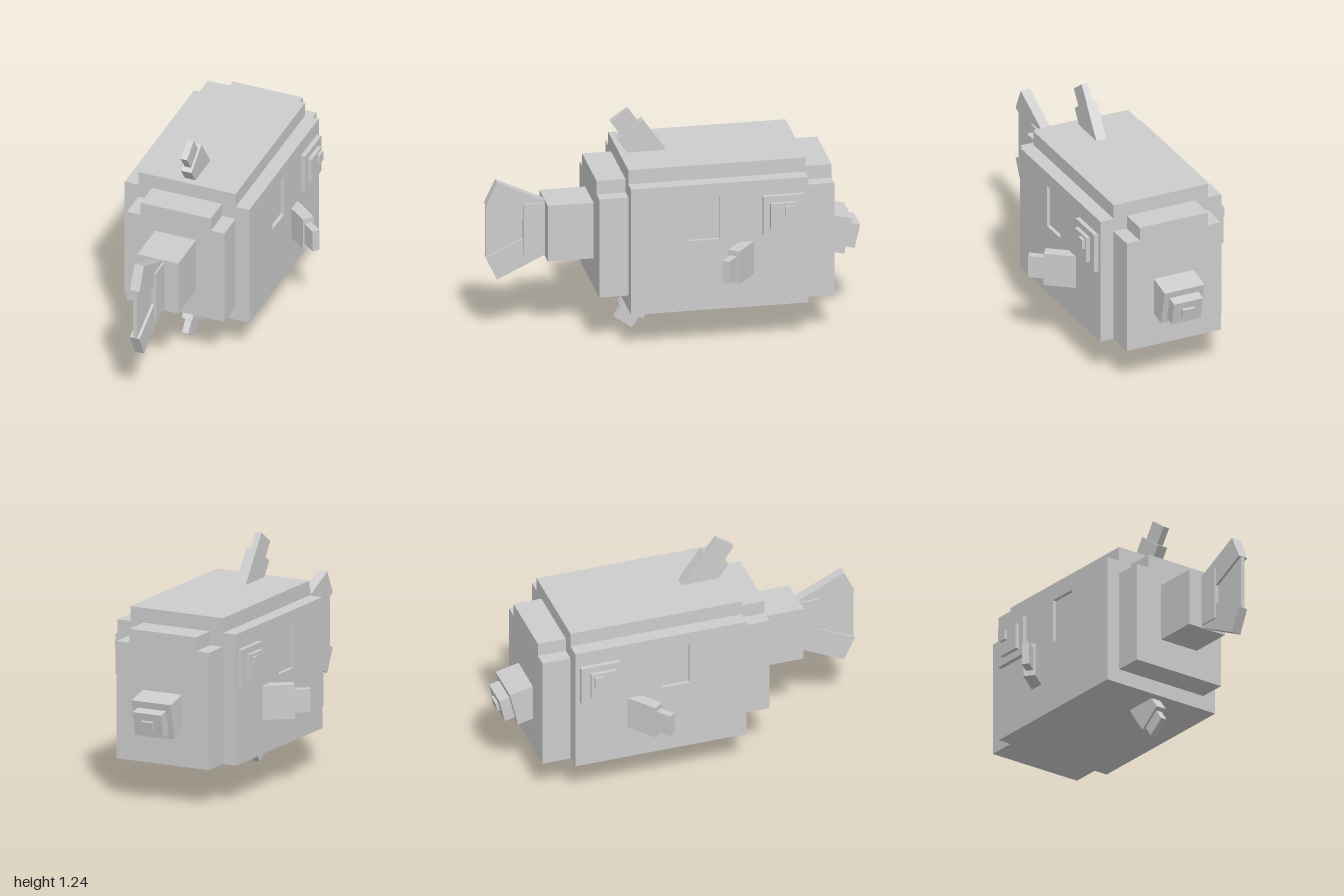
import * as THREE from 'three';

export function createModel() {
  const model = new THREE.Group();
  model.name = 'blockFish';
  const grey = new THREE.MeshStandardMaterial({ color: 0xcccccc });
  grey.name = 'grey';

  function add(name, geometry, parent = model) {
    const mesh = new THREE.Mesh(geometry, grey);
    mesh.name = name;
    parent.add(mesh);
    return mesh;
  }

  // Box given by its limits on each axis
  function block(name, x0, x1, y0, y1, z0, z1) {
    const mesh = add(name, new THREE.BoxGeometry(x1 - x0, y1 - y0, z1 - z0));
    mesh.position.set((x0 + x1) / 2, (y0 + y1) / 2, (z0 + z1) / 2);
    return mesh;
  }

  // Section with a narrower step along its top
  function stepped(name, half, topHalf, y0, y1, y2, z0, z1) {
    const shape = new THREE.Shape([
      [-half, y0], [half, y0], [half, y1], [topHalf, y1],
      [topHalf, y2], [-topHalf, y2], [-topHalf, y1], [-half, y1],
    ].map(([x, y]) => new THREE.Vector2(x, y)));
    const geo = new THREE.ExtrudeGeometry(shape, { depth: z1 - z0, bevelEnabled: false });
    add(name, geo.translate(0, 0, z0));
  }

  // Centred box leaning in the side plane; (z, y) is the middle of its outer end
  function leaning(name, z, y, degrees, width, height, length) {
    const geo = new THREE.BoxGeometry(width, height, length).translate(0, 0, -length / 2);
    const mesh = add(name, geo);
    mesh.rotation.x = -THREE.MathUtils.degToRad(degrees);
    mesh.position.set(0, y, z);
  }

  // Body core and the sections in front of and behind it
  const skin = 0.02, side = 0.355;
  stepped('bodyCore', side - skin, 0.277, 0.21, 0.92, 1.0, -0.665, 0.285);
  stepped('tailSection', 0.277, 0.2, 0.29, 0.845, 0.92, 0.285, 0.44);
  stepped('headSection', 0.277, 0.2, 0.21, 0.845, 0.92, -0.82, -0.665);

  // Flanks with a shallow gill recess (shape x runs along -z)
  const rect = (Type, x0, x1, y0, y1) => new Type([
    new THREE.Vector2(x0, y0), new THREE.Vector2(x1, y0),
    new THREE.Vector2(x1, y1), new THREE.Vector2(x0, y1),
  ]);
  const flank = rect(THREE.Shape, -0.285, 0.665, 0.21, 0.92);
  flank.holes.push(rect(THREE.Path, 0.03, 0.19, 0.605, 0.845));

  for (const s of [1, -1]) {
    const label = s > 0 ? 'left' : 'right';
    const geo = new THREE.ExtrudeGeometry(flank, { depth: skin, bevelEnabled: false });
    geo.rotateY(Math.PI / 2).translate(s > 0 ? side - skin : -side, 0, 0);
    add(label + 'Flank', geo);

    // Eye: three stacked plates
    const plates = [
      ['EyeRim', 0.38, 0.615, 0.835, -0.64, -0.42],
      ['Eye', 0.402, 0.655, 0.80, -0.59, -0.455],
      ['Pupil', 0.418, 0.73, 0.785, -0.575, -0.53],
    ];
    for (const [name, out, y0, y1, z0, z1] of plates) {
      const [a, b] = s > 0 ? [0.34, out] : [-out, -0.34];
      block(label + name, a, b, y0, y1, z0, z1);
    }

    // Side fin: two swept segments, placed by the middle of the outer end
    const segments = [
      ['FinBase', 0.472, -0.242, 0.185, 0.065, 0.19],
      ['FinTip', 0.538, -0.188, 0.125, 0.04, 0.12],
    ];
    for (const [name, x, z, height, thick, length] of segments) {
      const fin = new THREE.BoxGeometry(thick, height, length).translate(0, 0, -length / 2);
      const mesh = add(label + name, fin);
      mesh.rotation.y = s * THREE.MathUtils.degToRad(52);
      mesh.position.set(s * x, 0.4875, z);
    }
  }

  // Top and bottom fins
  leaning('topFinBase', 0.2275, 1.125, 55, 0.06, 0.168, 0.27);
  leaning('topFinTip', 0.2825, 1.2075, 55, 0.036, 0.115, 0.14);
  leaning('bottomFinBase', 0.2225, 0.10, -54, 0.06, 0.155, 0.25);
  leaning('bottomFinTip', 0.2625, 0.0375, -54, 0.036, 0.115, 0.12);

  // Snout and mouth
  leaning('snout', -0.925, 0.4725, 193, 0.234, 0.2, 0.16);
  leaning('lips', -0.98, 0.455, 193, 0.17, 0.133, 0.08);
  leaning('mouth', -0.994, 0.451, 193, 0.07, 0.05, 0.04);

  // Tail stem, forked fin and the web between the prongs
  block('tailStem', -0.117, 0.117, 0.45, 0.765, 0.44, 0.685);
  block('tailRoot', -0.037, 0.037, 0.465, 0.75, 0.68, 0.80);
  block('tailWeb', -0.012, 0.012, 0.455, 0.755, 0.79, 0.998);
  leaning('upperTailProng', 0.97, 0.8175, 25.5, 0.054, 0.14, 0.34);
  leaning('lowerTailProng', 0.97, 0.395, -25.5, 0.054, 0.14, 0.34);

  return model;
}
